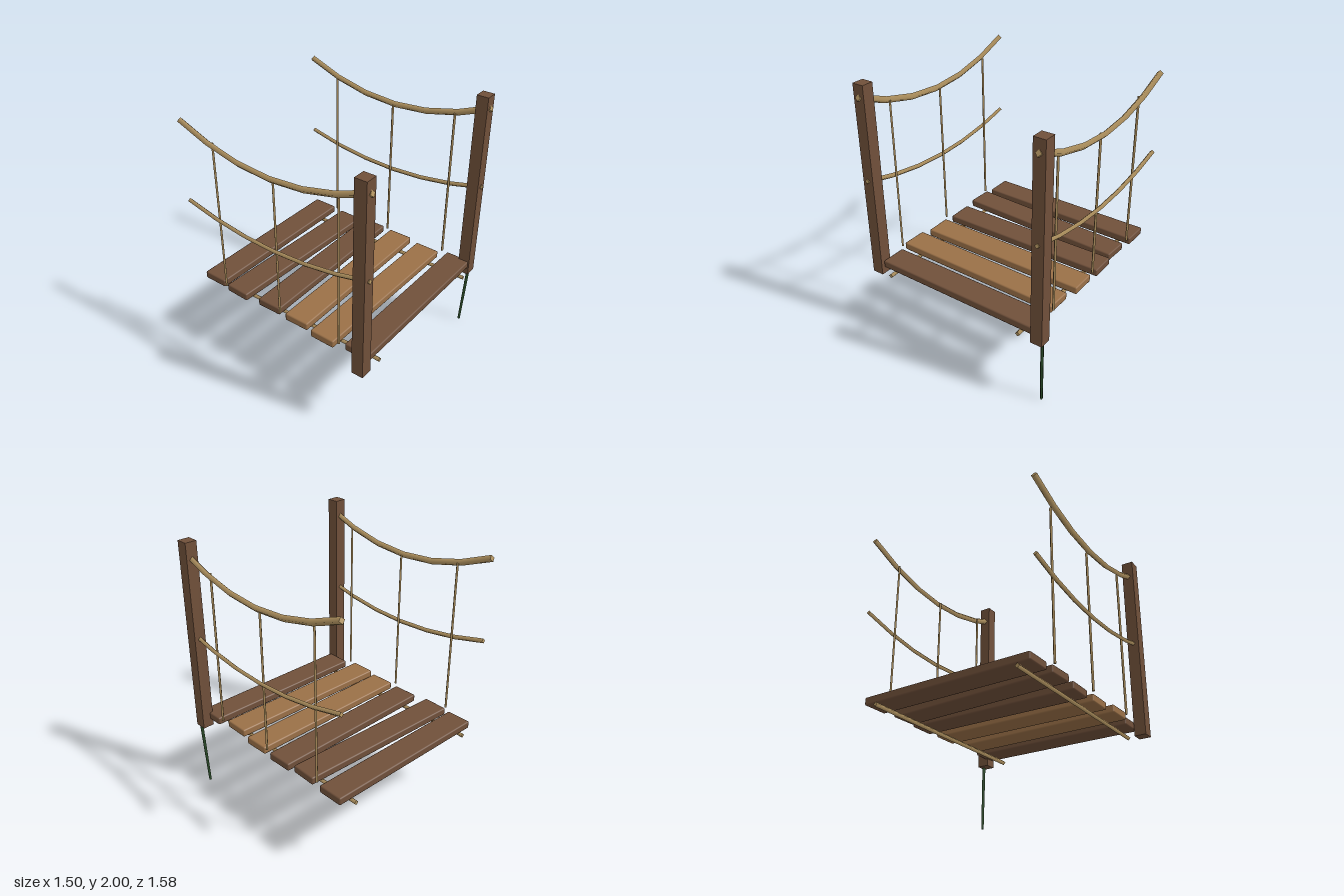
import * as THREE from 'three';
import { mergeGeometries } from 'three/addons/utils/BufferGeometryUtils.js';
import { RoundedBoxGeometry } from 'three/addons/geometries/RoundedBoxGeometry.js';

const material = (color) => new THREE.MeshStandardMaterial({ color });

// Sagging rope along z: parabola with closed ends
function ropeGeometry(endY, sag, radius) {
  const half = 0.78;
  const curve = new THREE.QuadraticBezierCurve3(
    new THREE.Vector3(0, endY, half),
    new THREE.Vector3(0, endY - 2 * sag, 0),
    new THREE.Vector3(0, endY, -half)
  );
  const parts = [new THREE.TubeGeometry(curve, 6, radius, 4, false)];
  for (const t of [0, 1]) {
    const outward = curve.getTangent(t).multiplyScalar(t ? 1 : -1);
    const turn = new THREE.Quaternion().setFromUnitVectors(new THREE.Vector3(0, 0, 1), outward);
    const p = curve.getPoint(t);
    parts.push(new THREE.CircleGeometry(radius, 4).applyQuaternion(turn).translate(p.x, p.y, p.z));
  }
  return mergeGeometries(parts);
}

export function createModel() {
  const group = new THREE.Group();
  const darkWood = material(0x70503a);
  const lightWood = material(0x9a7047);
  const rope = material(0xb0925f);
  const green = material(0x2a4a28);

  const add = (name, geometry, mat, x = 0, y = 0, z = 0) => {
    const mesh = new THREE.Mesh(geometry, mat);
    mesh.name = name;
    mesh.position.set(x, y, z);
    group.add(mesh);
    return mesh;
  };

  // Deck planks: centre x, centre z, slope, material
  const planks = [
    [0.02, -0.663, 0.011, darkWood],
    [0.0, -0.4, 0.042, darkWood],
    [0.02, -0.137, -0.007, darkWood],
    [0.01, 0.128, -0.002, lightWood],
    [-0.02, 0.392, 0.015, lightWood],
    [0.015, 0.657, 0.008, darkWood],
  ];
  planks.forEach(([x, z, slope, mat], i) => {
    const plank = add(`plank${i + 1}`, new RoundedBoxGeometry(1.34, 0.058, 0.197, 1, 0.01), mat, x, 0.601, z);
    plank.rotation.y = -slope;
  });

  // Posts, rails, hangers and deck ropes on both sides
  const topSag = 0.18, topEnd = 1.91;
  for (const [side, s] of [['left', 1], ['right', -1]]) {
    add(`${side}Post`, new THREE.BoxGeometry(0.09, 1.485, 0.09), darkWood, s * 0.705, 1.2575, 0.725);
    add(`${side}HandRope`, ropeGeometry(topEnd, topSag, 0.024), rope, s * 0.705);
    add(`${side}MiddleRope`, ropeGeometry(1.29, 0.11, 0.018), rope, s * 0.705);

    for (const z of [-0.52, 0, 0.52]) {
      const top = topEnd - topSag * (1 - (z / 0.78) ** 2);
      add(`${side}Hanger`, new THREE.CylinderGeometry(0.01, 0.01, top - 0.63, 4), rope, s * 0.677, (top + 0.63) / 2, z);
    }

    const deckRope = add(`${side}DeckRope`, new THREE.CylinderGeometry(0.018, 0.018, 1.56, 4), rope, s * 0.565, 0.545, 0);
    deckRope.rotation.x = Math.PI / 2;
  }

  // Vine hanging under the left post
  const vinePath = new THREE.LineCurve3(new THREE.Vector3(0.734, 0.56, 0.739), new THREE.Vector3(0.72, 0, 0.71));
  const vineLength = vinePath.getLength();
  const middle = vinePath.getPoint(0.5);
  const vine = add('vine', new THREE.CylinderGeometry(0.013, 0.01, vineLength, 5), green, middle.x, middle.y, middle.z);
  vine.quaternion.setFromUnitVectors(new THREE.Vector3(0, -1, 0), vinePath.getTangent(0));

  return group;
}
